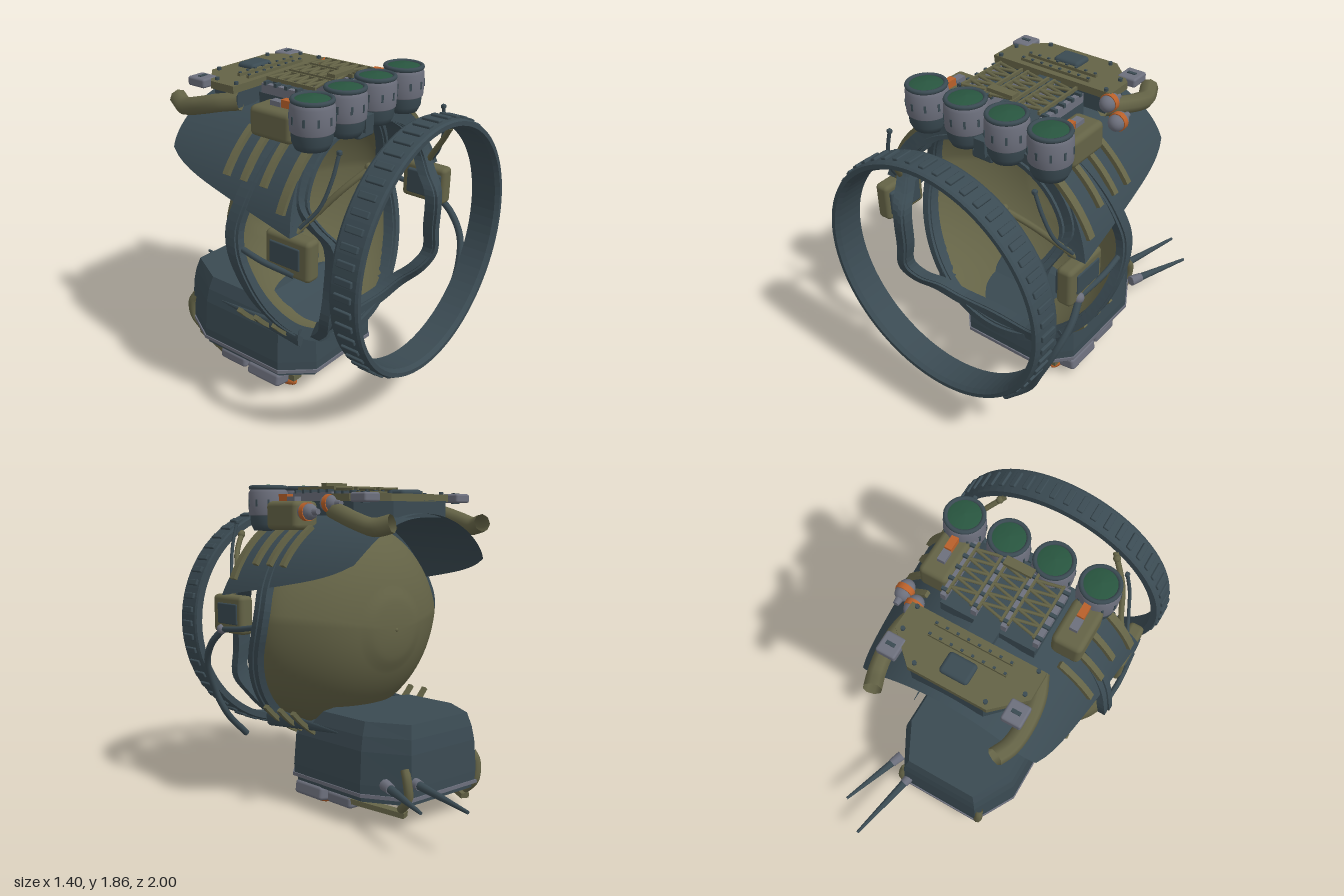
import * as THREE from 'three';
import { ParametricGeometry } from 'three/addons/geometries/ParametricGeometry.js';
import { RoundedBoxGeometry } from 'three/addons/geometries/RoundedBoxGeometry.js';

const V = (x, y, z) => new THREE.Vector3(x, y, z);
const CY = 1.03; // height of the helmet axis
const lerp = THREE.MathUtils.lerp;

function mat(name, color, side = THREE.FrontSide) {
  const m = new THREE.MeshStandardMaterial({ color, side });
  m.name = name;
  return m;
}

export function createModel() {
  const root = new THREE.Group();
  root.name = 'helmet';
  const dark = mat('dark slate', 0x3a4a52, THREE.DoubleSide);
  const olive = mat('olive', 0x646346, THREE.DoubleSide);
  const grey = mat('grey metal', 0x6c6f7c);
  const orange = mat('orange', 0xb8602a);
  const green = mat('green glass', 0x28553f);

  const add = (name, geo, m, x = 0, y = 0, z = 0) => {
    const mesh = new THREE.Mesh(geo, m);
    mesh.name = name;
    mesh.position.set(x, y, z);
    root.add(mesh);
    return mesh;
  };
  const box = (name, m, w, h, d, x, y, z) => add(name, new THREE.BoxGeometry(w, h, d), m, x, y, z);
  const rbox = (name, m, w, h, d, x, y, z, r = 0.025) =>
    add(name, new RoundedBoxGeometry(w, h, d, 2, r), m, x, y, z);
  const tube = (name, m, r, pts, seg = 24) =>
    add(name, new THREE.TubeGeometry(new THREE.CatmullRomCurve3(pts), seg, r, 8), m);
  // Tapered rod between two points
  const rod = (name, m, a, b, r0, r1 = r0, sides = 10) => {
    const d = b.clone().sub(a);
    const mesh = add(name, new THREE.CylinderGeometry(r1, r0, d.length(), sides), m);
    mesh.position.copy(a).addScaledVector(d, 0.5);
    mesh.quaternion.setFromUnitVectors(V(0, 1, 0), d.normalize());
    return mesh;
  };
  const flat = (geo) => { const g = geo.toNonIndexed(); g.computeVertexNormals(); return g; };
  // Closed band of rectangular section following a loop around the helmet axis
  const bandLoop = (name, m, pts, hr, hz) => {
    const curve = new THREE.CatmullRomCurve3(pts, true);
    const corners = [[1, 1], [1, -1], [-1, -1], [-1, 1]];
    const f = (u, v, t) => {
      const p = curve.getPoint(u % 1);
      const l = Math.hypot(p.x, p.y - CY);
      const c = corners[Math.round(v * 4) % 4];
      t.set(p.x + (p.x / l) * hr * c[0], p.y + ((p.y - CY) / l) * hr * c[0], p.z + hz * c[1]);
    };
    return add(name, flat(new ParametricGeometry(f, 96, 4)), m);
  };
  // Curved strap hugging a circle about the helmet axis, angles in degrees
  const arcStrap = (name, m, z, r, a0, a1, w, th = 0.025) => {
    const A = a0 * Math.PI / 180, B = a1 * Math.PI / 180;
    const s = new THREE.Shape();
    s.absarc(0, 0, r + th, A, B, false);
    s.absarc(0, 0, r, B, A, true);
    add(name, new THREE.ExtrudeGeometry(s, { depth: w, bevelEnabled: false, curveSegments: 10 }), m, 0, CY, z - w / 2);
  };
  // Horizontal plate cut from an outline of [x, z] points
  const plate = (name, m, pts, h, y) => {
    const g = new THREE.ExtrudeGeometry(new THREE.Shape(pts.map(([x, z]) => new THREE.Vector2(x, -z))), { depth: h, bevelEnabled: false });
    g.rotateX(-Math.PI / 2);
    return add(name, g, m, 0, y, 0);
  };
  const mirrored = (half) => [...half, ...half.slice().reverse().map(([x, z]) => [-x, z])];

  // Front ring with tread ribs
  const prof = [[0.64, -0.083], [0.678, -0.083], [0.685, -0.07], [0.685, 0.07], [0.678, 0.083], [0.655, 0.083], [0.64, 0.06], [0.64, -0.083]];
  const ringGeo = flat(new THREE.LatheGeometry(prof.map(([x, y]) => new THREE.Vector2(x, y)), 80));
  add('frontRing', ringGeo, dark, 0, CY, 0.917).rotation.x = Math.PI / 2;
  for (let i = 0; i < 52; i++) {
    const a = (i / 52) * Math.PI * 2;
    rbox('ringRib', dark, 0.024, 0.036, 0.1, 0.686 * Math.cos(a), CY + 0.686 * Math.sin(a), 0.917, 0.006).rotation.z = a;
  }

  // Rear bowl: flared edge follows the kinked frame, with a slightly raised disc at the pole
  const frameZ = (y) => (y > 1.1 ? 0.2 + (y - 1.1) * 0.15 : 0.2 + (1.1 - y) * 0.38);
  const bowl = (u, v, t) => {
    const a = u * Math.PI * 2, p = v * Math.PI / 2, s = Math.sin(p);
    const x = lerp(0.59, 0.65, Math.pow(s, 10)) * Math.cos(a), dy = 0.62 * Math.sin(a), ze = frameZ(CY + dy);
    const bump = 0.01 * (1 - THREE.MathUtils.smoothstep(s, 0.26, 0.42));
    t.set(x * s, CY + dy * s, lerp(ze, -0.163, Math.cos(p)) - bump);
  };
  add('rearBowl', new ParametricGeometry(bowl, 72, 40), olive);
  add('bowlNub', new THREE.SphereGeometry(0.012, 10, 8), olive, 0, CY, -0.168);

  // Rear frame around the bowl edge
  const framePts = [];
  for (let i = 0; i < 32; i++) {
    const a = (i / 32) * Math.PI * 2, y = CY + 0.645 * Math.sin(a);
    framePts.push(V(0.665 * Math.cos(a), y, frameZ(y)));
  }
  bandLoop('rearFrame', dark, framePts, 0.022, 0.045);
  bandLoop('rearFrameSeal', dark, framePts.map((p) => V(p.x, p.y, p.z + 0.01)), 0.032, 0.018);

  // Face opening loop, pinched at the cheeks
  const face = [[0.28, 1.59, 0.47], [0.46, 1.48, 0.5], [0.535, 1.34, 0.53], [0.505, 1.23, 0.6], [0.46, 1.13, 0.685],
    [0.46, 0.9, 0.69], [0.48, 0.74, 0.68], [0.43, 0.64, 0.63], [0.37, 0.54, 0.53], [0.26, 0.47, 0.48]];
  const facePts = [V(0, 1.62, 0.45), ...face.map((p) => V(...p)), V(0, 0.455, 0.46),
    ...face.slice().reverse().map(([x, y, z]) => V(-x, y, z))];
  bandLoop('faceLoop', dark, facePts, 0.042, 0.03);
  bandLoop('faceLoopLip', dark, facePts.map((p) => V(p.x * 0.96, CY + (p.y - CY) * 0.96, p.z + 0.02)), 0.012, 0.025);
  rbox('browLatch', dark, 0.13, 0.05, 0.08, 0, 1.565, 0.5, 0.012);
  box('browClip', dark, 0.07, 0.09, 0.05, 0, 1.62, 0.53);

  // Overhanging hood and the lip closing it against the face loop
  const hoodPoint = (u, v, t, shrink = 0) => {
    const k = Math.abs(2 * u - 1);
    const R = lerp(0.69, 0.65, v) - shrink;
    const yb = lerp(1.22, 1.37, v) + 0.05 * Math.pow(v, 8);
    const a0 = Math.asin((yb - CY) / R), a = a0 + (Math.PI - 2 * a0) * u;
    t.set(R * Math.cos(a), CY + R * Math.sin(a), lerp(0.47 + 0.11 * k * k, -0.39 + 0.03 * Math.pow(k, 8), v));
  };
  add('hood', new ParametricGeometry((u, v, t) => hoodPoint(u, v, t), 48, 16), dark);
  add('hoodLining', new ParametricGeometry((u, v, t) => hoodPoint(u, v, t, 0.02), 48, 16), dark);
  add('hoodLip', new ParametricGeometry((u, v, t) => hoodPoint(u, 0, t, 0.1 * v), 48, 1), dark);

  // Base block: rings of an eight-sided outline [height, scale, front scale], its top sloping back under the bowl
  const outline = mirrored([[0.25, 0.43], [0.4, 0.27], [0.4, -0.3], [0.26, -0.55]]);
  const levels = [[0.18, 1, 1], [0.24, 1, 1], [0.42, 0.97, 0.97], [0.5, 0.93, 0.5], [0.575, 0.86, 0.25], [0.575, 0, 0]];
  const base = (u, v, t) => {
    const [x, z] = outline[Math.round(u * 8) % 8], [y, s, f] = levels[Math.round(v * 5)];
    t.set(x * s, y, z > 0 ? z * f : -0.06 + (z + 0.06) * lerp(1, s, s > 0.5 ? 0.6 : 1));
  };
  add('baseBlock', flat(new ParametricGeometry(base, 8, 5)), dark);
  const scaled = (k) => outline.map(([x, z]) => [x * k, -0.06 + (z + 0.06) * k]);
  plate('baseRim', grey, scaled(1.015), 0.02, 0.17);
  plate('baseFloor', dark, scaled(0.96), 0.03, 0.14);
  plate('underPlate', dark, mirrored([[0.22, 0.34], [0.31, 0.24], [0.31, -0.12], [0.24, -0.2]]), 0.03, 0.115);
  rbox('underHub', grey, 0.2, 0.07, 0.16, 0, 0.07, -0.06);
  add('underDisc', new THREE.CylinderGeometry(0.07, 0.06, 0.03, 20), dark, 0, 0.04, -0.06);
  for (const z of [0.22, -0.32]) rbox('underVent', grey, 0.18, 0.03, 0.1, 0, 0.115, z, 0.012);

  for (const s of [1, -1]) {
    // Underside fittings and orange feet
    rbox('sidePod', grey, 0.11, 0.08, 0.24, s * 0.345, 0.1, 0.15, 0.02).rotation.z = s * 0.15;
    rbox('rearPod', grey, 0.1, 0.07, 0.2, s * 0.335, 0.105, -0.1, 0.02);
    box('underStrip', olive, 0.05, 0.03, 0.34, s * 0.3, 0.1, -0.33).rotation.set(-0.12, s * 0.35, 0);
    box('footBracket', olive, 0.07, 0.04, 0.09, s * 0.25, 0.08, 0.25);
    add('orangeFoot', new THREE.SphereGeometry(0.5, 16, 10), orange, s * 0.255, 0.035, 0.2).scale.set(0.065, 0.07, 0.18);
    tube('baseCornerStrap', olive, 0.025, [V(s * 0.27, 0.34, -0.51), V(s * 0.28, 0.29, -0.535), V(s * 0.27, 0.18, -0.535), V(s * 0.26, 0.11, -0.47)]);

    // Ear boxes
    rbox('earBox', olive, 0.09, 0.22, 0.28, s * 0.61, 1.11, 0.55);
    rbox('earPad', dark, 0.02, 0.12, 0.19, s * 0.652, 1.115, 0.54, 0.008);
    rbox('earCushion', dark, 0.035, 0.15, 0.22, s * 0.565, 1.11, 0.56, 0.012);
    tube('earPipe', dark, 0.016, [V(s * 0.66, 1.06, 0.27), V(s * 0.665, 1.04, 0.4), V(s * 0.65, 1.02, 0.6)]);

    // Straps tying the ring to the helmet
    tube('ringStrap', olive, 0.016, [V(s * 0.34, 1.57, 0.83), V(s * 0.45, 1.45, 0.73), V(s * 0.54, 1.28, 0.6), V(s * 0.63, 1.2, 0.55)]);
    add('strapJoint', new THREE.SphereGeometry(0.022, 10, 8), olive, s * 0.36, 1.555, 0.81);
    tube('hookCable', dark, 0.01, [V(s * 0.46, 1.63, 0.71), V(s * 0.5, 1.5, 0.7), V(s * 0.54, 1.36, 0.66), V(s * 0.59, 1.25, 0.58)]);
    rbox('hookTip', dark, 0.025, 0.025, 0.025, s * 0.46, 1.63, 0.71, 0.008);

    // Curved straps over the hood and below the frame, with tapering fin
    const arc = (n, z, r, a, b, w) => (s > 0 ? arcStrap(n, olive, z, r, a, b, w) : arcStrap(n, olive, z, r, 180 - b, 180 - a, w));
    arc('browStrap', 0.5, 0.685, 24, 55, 0.045);
    for (const z of [0.35, 0.22, 0.1]) {
      arc('hoodStrap', z, 0.685, 32, 56, 0.035);
      arc('lowerStrap', z + 0.01, 0.68, -64, -40, 0.03);
    }
    rod('lowerFin', dark, V(s * 0.43, 0.5, 0.46), V(s * 0.42, 0.5, -0.14), 0.06, 0.004, 8).scale.x = 0.4;

    // Roof boxes with grey and orange latches
    rbox('roofBox', olive, 0.17, 0.16, 0.27, s * 0.385, 1.67, 0.28, 0.03);
    box('latch', grey, 0.045, 0.03, 0.07, s * 0.38, 1.76, 0.265);
    box('latchTab', orange, 0.04, 0.04, 0.08, s * 0.38, 1.77, 0.34);

    // Drooping horn and its buckle
    tube('horn', olive, 0.05, [V(s * 0.34, 1.7, -0.03), V(s * 0.385, 1.68, -0.14), V(s * 0.4, 1.64, -0.28), V(s * 0.385, 1.61, -0.4), V(s * 0.35, 1.63, -0.49)]);
    rbox('buckle', grey, 0.11, 0.05, 0.12, s * 0.35, 1.765, -0.29, 0.012);
    box('buckleSlot', dark, 0.05, 0.06, 0.02, s * 0.35, 1.765, -0.29);
  }

  // Four roof lamps
  const lathe = (pts) => new THREE.LatheGeometry(pts.map(([x, y]) => new THREE.Vector2(x, y)), 28);
  const cup = lathe([[0, 1.58], [0.085, 1.585], [0.102, 1.62], [0.106, 1.68]]);
  const barrel = lathe([[0.106, 1.67], [0.112, 1.675], [0.115, 1.73], [0.112, 1.8], [0.1, 1.82]]);
  const lens = lathe([[0.092, 1.83], [0.06, 1.84], [0, 1.846]]);
  for (const x of [-0.39, -0.13, 0.13, 0.39]) {
    add('lampCup', cup, dark, x, 0, 0.49);
    add('lampBarrel', barrel, grey, x, 0, 0.49);
    add('lampRim', new THREE.TorusGeometry(0.099, 0.013, 8, 28), dark, x, 1.828, 0.49).rotation.x = Math.PI / 2;
    add('lampLens', lens, green, x, 0, 0.49);
    for (let i = 0; i < 10; i++) {
      const a = (i / 10) * Math.PI * 2;
      box('lampNotch', dark, 0.012, 0.04, 0.006, x + 0.114 * Math.sin(a), 1.74, 0.49 + 0.114 * Math.cos(a)).rotation.y = a;
    }
  }

  // Roof deck with rails and zigzag lacing
  box('roofDeck', dark, 0.54, 0.08, 0.36, 0, 1.71, 0.22);
  box('roofSpine', dark, 0.14, 0.05, 0.12, 0, 1.735, 0);
  box('roofCrossbar', olive, 0.16, 0.02, 0.05, 0, 1.85, 0.36);
  const rails = [-0.26, -0.08, 0.09, 0.265];
  for (const x of rails) {
    box('roofRail', grey, 0.03, 0.05, 0.34, x, 1.775, 0.23);
    for (let i = 0; i < 5; i++) box('railStud', dark, 0.045, 0.02, 0.018, x, 1.805, 0.09 + i * 0.07);
  }
  for (let j = 0; j < 3; j++) {
    const a = rails[j] + 0.02, b = rails[j + 1] - 0.02;
    for (let i = 0; i < 5; i++) {
      const z = 0.08 + i * 0.06;
      rod('lacing', olive, V(a, 1.825, z), V(b, 1.825, z + 0.03), 0.009, 0.009, 6);
      rod('lacing', olive, V(b, 1.825, z + 0.03), V(a, 1.825, z + 0.06), 0.009, 0.009, 6);
    }
    for (const x of [a, b]) box('lacingBar', olive, 0.012, 0.02, 0.32, x, 1.822, 0.23);
  }

  // Rear roof plate with pad, bars and screws
  const plateShape = mirrored([[0.22, -0.35], [0.38, -0.2], [0.38, -0.04]]);
  plate('roofPlateBed', dark, plateShape.map(([x, z]) => [x * 0.92, z]), 0.09, 1.66);
  plate('roofPlate', olive, plateShape, 0.04, 1.745);
  rbox('roofPad', dark, 0.16, 0.05, 0.12, 0, 1.785, -0.235, 0.02);
  for (const z of [-0.15, -0.085]) {
    box('plateBar', olive, 0.44, 0.016, 0.02, 0, 1.793, z);
    for (let i = 0; i < 8; i++) box('plateBarStud', dark, 0.014, 0.012, 0.012, -0.21 + i * 0.06, 1.802, z);
  }
  for (const [x, z] of plateShape) add('plateScrew', new THREE.CylinderGeometry(0.012, 0.012, 0.02, 8), dark, x * 0.9, 1.79, z * 0.85 - 0.02);

  // Two canisters on the left of the roof
  for (const [x, y, z] of [[0.375, 1.735, -0.04], [0.475, 1.69, 0.03]]) {
    add('canister', new THREE.CapsuleGeometry(0.045, 0.035, 6, 14), grey, x, y, z).rotation.x = Math.PI / 2;
    add('canisterBand', new THREE.CylinderGeometry(0.05, 0.05, 0.032, 16), orange, x, y, z).rotation.x = Math.PI / 2;
    rod('canisterNeck', grey, V(x, y, z - 0.05), V(x, y, z - 0.09), 0.022, 0.016);
  }

  // Air hose on the left side
  tube('airHose', dark, 0.02, [V(0.65, 1.02, 0.6), V(0.67, 0.93, 0.69), V(0.645, 0.8, 0.78), V(0.57, 0.62, 0.82), V(0.49, 0.46, 0.81), V(0.34, 0.31, 0.83)], 40);
  add('hoseJoint', new THREE.SphereGeometry(0.03, 12, 8), grey, 0.65, 1.02, 0.61);

  // Two rear antennas
  for (const [a, b] of [[V(0.22, 0.27, -0.5), V(0.33, 0.245, -1)], [V(0.35, 0.26, -0.44), V(0.505, 0.245, -0.85)]]) {
    const at = (t) => a.clone().lerp(b, t);
    rod('antennaSocket', grey, a, at(0.18), 0.033, 0.028);
    rod('antennaRod', dark, at(0.18), b, 0.024, 0.009);
  }
  return root;
}
